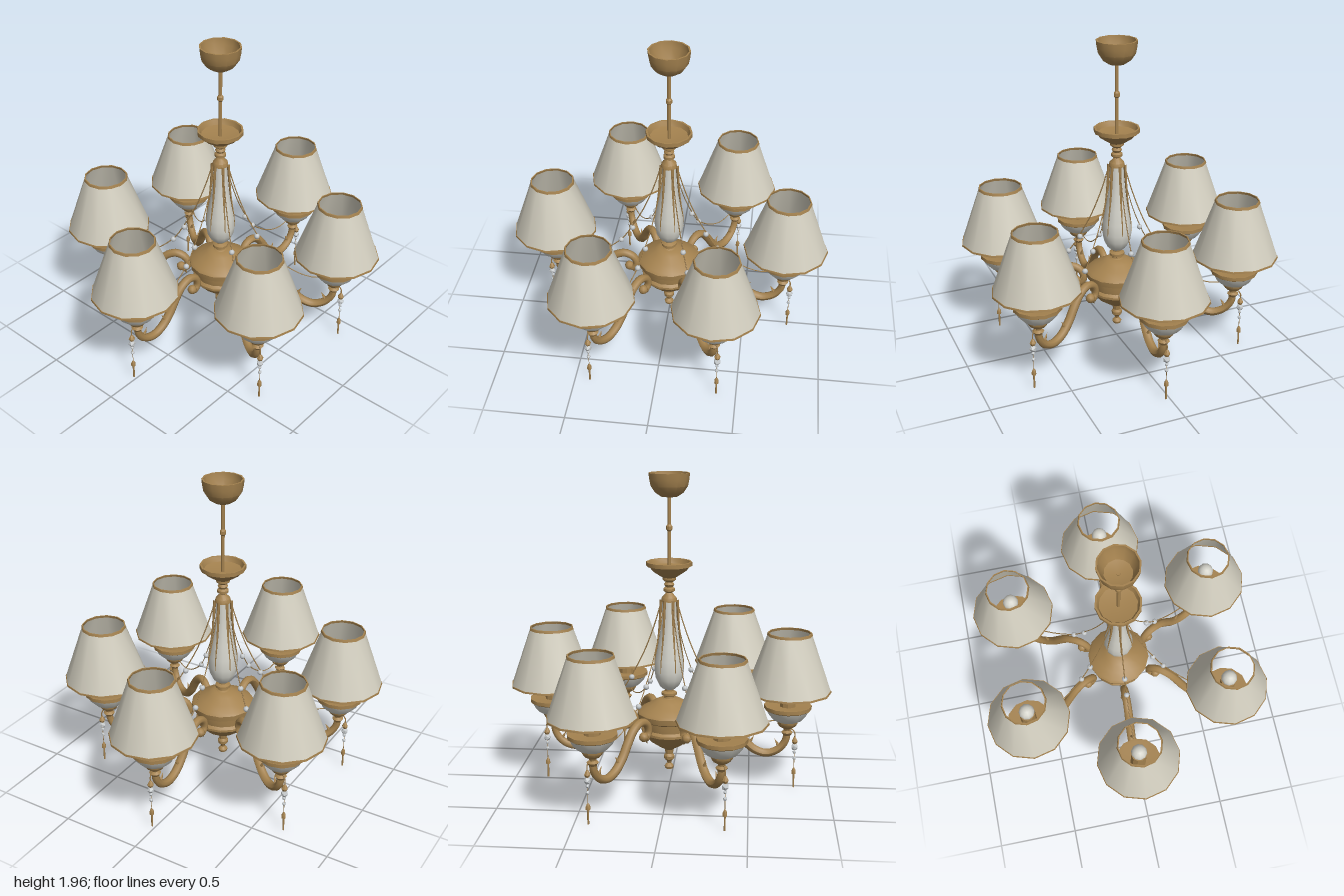
import * as THREE from 'three';
import { toCreasedNormals } from 'three/addons/utils/BufferGeometryUtils.js';

const mat = (name, color, extra = {}) => {
  const m = new THREE.MeshStandardMaterial({ color, ...extra });
  m.name = name;
  return m;
};
const brass = mat('antique brass', 0xa4824f);
const fabric = mat('ivory fabric', 0xd2cebf, { side: THREE.DoubleSide });
const porcelain = mat('porcelain', 0xd3d2c9);
const crystal = mat('crystal', 0xc4c8ca);

const V = (x, y, z = 0) => new THREE.Vector3(x, y, z);
const curve = pts => new THREE.CatmullRomCurve3(pts.map(p => V(p[0], p[1])));

function add(parent, name, geo, material, x = 0, y = 0, z = 0) {
  const m = new THREE.Mesh(geo, material);
  m.name = name;
  m.position.set(x, y, z);
  parent.add(m);
  return m;
}

// Turned part: [radius, height] profile from bottom to top
function turned(parent, name, pts, material, sides = 12, x = 0) {
  const g = new THREE.LatheGeometry(pts.map(p => new THREE.Vector2(p[0], p[1])), sides);
  return add(parent, name, toCreasedNormals(g, 0.6), material, x);
}

// Tube whose thickness follows a rule along its length
function taperedTube(path, steps, sides, radiusAt) {
  const g = new THREE.TubeGeometry(path, steps, 1, sides);
  const p = g.attributes.position, v = V(0, 0);
  for (let i = 0; i < p.count; i++) {
    const t = Math.floor(i / (sides + 1)) / steps;
    const c = path.getPointAt(t);
    v.fromBufferAttribute(p, i).sub(c).multiplyScalar(radiusAt(t)).add(c);
    p.setXYZ(i, v.x, v.y, v.z);
  }
  g.computeVertexNormals();
  return g;
}

function leaf(parent, x, y, angle, length) {
  const m = add(parent, 'armLeaf', new THREE.ConeGeometry(0.018, length, 6), brass, x, y);
  m.rotation.z = angle;
}

// Ceiling cup, rod, dish, vase column and central bowl
function buildColumn() {
  const g = new THREE.Group();
  g.name = 'column';
  turned(g, 'ceilingCup', [[0, 1.815], [0.05, 1.817], [0.085, 1.84], [0.112, 1.88], [0.12, 1.92],
    [0.124, 1.958], [0.114, 1.958], [0.108, 1.92], [0.08, 1.855], [0, 1.835]], brass);
  turned(g, 'rod', [[0.011, 1.38], [0.011, 1.61], [0.019, 1.62], [0.019, 1.64], [0.011, 1.65], [0.011, 1.85]], brass, 8);
  turned(g, 'upperDish', [[0, 1.32], [0.035, 1.325], [0.06, 1.34], [0.105, 1.37], [0.125, 1.395], [0.14, 1.40],
    [0.14, 1.425], [0.128, 1.425], [0.115, 1.395], [0, 1.375]], brass);
  turned(g, 'upperTurning', [[0.05, 1.18], [0.045, 1.205], [0.026, 1.225], [0.02, 1.235], [0.035, 1.245], [0.035, 1.26],
    [0.023, 1.27], [0.032, 1.285], [0.023, 1.30], [0.042, 1.315], [0.042, 1.33]], brass);
  turned(g, 'vase', [[0.04, 0.625], [0.062, 0.645], [0.084, 0.69], [0.092, 0.74], [0.087, 0.81], [0.07, 0.90],
    [0.054, 1.0], [0.045, 1.09], [0.042, 1.19], [0, 1.19]], porcelain);
  turned(g, 'lowerTurning', [[0.06, 0.55], [0.032, 0.565], [0.03, 0.575], [0.048, 0.585], [0.048, 0.60], [0.026, 0.61],
    [0.026, 0.62], [0.042, 0.628], [0.04, 0.635], [0, 0.635]], brass);
  turned(g, 'centralBowl', [[0.03, 0.225], [0.042, 0.235], [0.07, 0.25], [0.12, 0.285], [0.155, 0.325], [0.175, 0.345],
    [0.175, 0.36], [0.16, 0.375], [0.165, 0.425], [0.195, 0.44], [0.2, 0.475], [0.185, 0.49], [0.14, 0.515],
    [0.09, 0.545], [0.06, 0.56], [0, 0.56]], brass, 14);
  turned(g, 'bottomFinial', [[0, 0.09], [0.025, 0.095], [0.03, 0.11], [0.022, 0.122], [0.012, 0.13], [0.016, 0.145],
    [0.032, 0.16], [0.034, 0.18], [0.024, 0.195], [0.03, 0.23]], brass, 10);
  // Brass ribs running down the vase
  const ribPath = curve([[0.05, 1.19], [0.056, 1.08], [0.064, 0.98], [0.076, 0.89], [0.088, 0.81], [0.091, 0.74]]);
  const ribGeo = taperedTube(ribPath, 12, 5, t => 0.010 - 0.008 * t);
  for (let i = 0; i < 6; i++) {
    add(g, 'vaseRib', ribGeo, brass).rotation.y = (i + 0.5) * Math.PI / 3;
  }
  return g;
}

// Crystal strand hanging below a lamp
function buildPendant(x) {
  const g = new THREE.Group();
  g.name = 'pendant';
  g.position.x = x;
  const hook = curve([[-0.05, 0.375], [-0.02, 0.385], [0, 0.36], [0, 0.33]]);
  add(g, 'pendantHook', new THREE.TubeGeometry(hook, 8, 0.004, 4), brass);
  turned(g, 'pendantCap', [[0, 0.285], [0.012, 0.29], [0.02, 0.305], [0.008, 0.33], [0, 0.335]], brass, 6);
  [[0.268, 0.023], [0.235, 0.012], [0.195, 0.013]].forEach(([y, r]) =>
    add(g, 'crystalBead', new THREE.IcosahedronGeometry(r, 0), crystal, 0, y));
  add(g, 'pendantWire', new THREE.CylinderGeometry(0.002, 0.002, 0.2, 4), brass, 0, 0.21);
  turned(g, 'dropCap', [[0.014, 0.09], [0.014, 0.11], [0.007, 0.125], [0, 0.135]], brass, 6);
  add(g, 'dropRod', new THREE.CylinderGeometry(0.006, 0.006, 0.1, 6), brass, 0, 0.05);
  return g;
}

// One arm with its lamp, built along +x
function buildArm() {
  const R = 0.738, g = new THREE.Group();
  g.name = 'lampArm';
  const path = curve([[R, 0.385], [0.73, 0.31], [0.685, 0.25], [0.61, 0.222], [0.535, 0.245], [0.47, 0.305], [0.415, 0.385],
    [0.36, 0.45], [0.29, 0.478], [0.23, 0.45], [0.215, 0.395], [0.245, 0.362], [0.27, 0.385]]);
  add(g, 'arm', taperedTube(path, 44, 8, t => 0.021 + 0.007 * Math.sin(Math.PI * t)), brass);
  add(g, 'scrollEnd', new THREE.SphereGeometry(0.03, 8, 6), brass, 0.262, 0.378);
  leaf(g, 0.515, 0.3, -0.5, 0.08);
  leaf(g, 0.68, 0.285, 0.5, 0.08);
  leaf(g, 0.235, 0.345, 2.6, 0.05);

  turned(g, 'lampCup', [[0, 0.34], [0.022, 0.345], [0.036, 0.365], [0.02, 0.378], [0.024, 0.39], [0.05, 0.405],
    [0.064, 0.425], [0.066, 0.44], [0, 0.44]], brass, 10, R);
  turned(g, 'lampBowl', [[0.062, 0.437], [0.09, 0.45], [0.118, 0.48], [0.135, 0.515]], porcelain, 12, R);
  turned(g, 'lampBowlRim', [[0.13, 0.51], [0.147, 0.52], [0.147, 0.543], [0.13, 0.543], [0.05, 0.535], [0, 0.535]], brass, 12, R);
  turned(g, 'candleSleeve', [[0.05, 0.53], [0.05, 0.76], [0, 0.76]], brass, 10, R);
  add(g, 'bulb', new THREE.SphereGeometry(0.05, 10, 8), porcelain, R, 0.79);

  // Open fabric shade with thin brass trim
  turned(g, 'shade', [[0.26, 0.637], [0.133, 0.997]], fabric, 12, R);
  turned(g, 'shadeTopTrim', [[0.132, 0.987], [0.139, 0.987], [0.135, 1.002], [0.128, 1.002], [0.132, 0.987]], brass, 12, R);
  turned(g, 'shadeBottomTrim', [[0.257, 0.63], [0.264, 0.63], [0.262, 0.641], [0.255, 0.641], [0.257, 0.63]], brass, 12, R);

  // Garland from the column to the lamp, with beads
  const chain = curve([[0.045, 1.19], [0.095, 1.02], [0.16, 0.85], [0.235, 0.705], [0.30, 0.60], [0.40, 0.51],
    [0.5, 0.452], [0.6, 0.43], [0.69, 0.445]]);
  add(g, 'garland', new THREE.TubeGeometry(chain, 24, 0.0035, 4), brass);
  [[0.235, 0.69], [0.31, 0.585]].forEach(([x, y]) =>
    add(g, 'garlandBead', new THREE.IcosahedronGeometry(0.018, 1), crystal, x, y));
  g.add(buildPendant(0.787));
  return g;
}

export function createModel() {
  const model = new THREE.Group();
  model.name = 'chandelier';
  model.add(buildColumn());
  const arm = buildArm();
  for (let i = 0; i < 6; i++) {
    const a = arm.clone();
    a.rotation.y = THREE.MathUtils.degToRad(88.4 - 60 * i);
    model.add(a);
  }
  model.position.z = -0.005;
  const root = new THREE.Group();
  root.name = 'chandelierRoot';
  root.add(model);
  return root;
}
